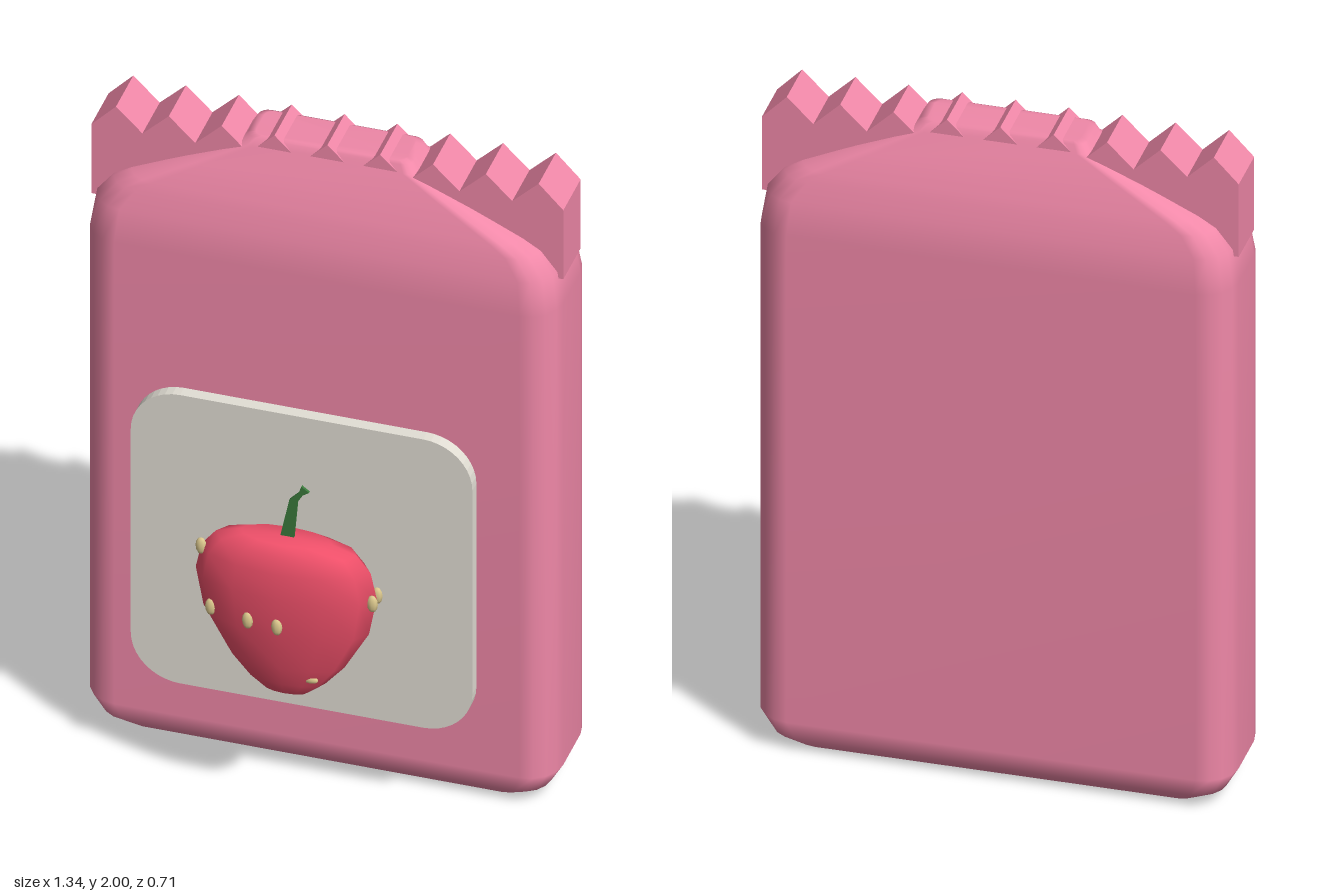
import * as THREE from 'three';
import { mergeVertices } from 'three/addons/utils/BufferGeometryUtils.js';

const mat = (color, extra = {}) => {
  const m = new THREE.MeshStandardMaterial({ color });
  return Object.assign(m, extra);
};

function addMesh(parent, name, geometry, material) {
  const mesh = new THREE.Mesh(geometry, material);
  mesh.name = name;
  parent.add(mesh);
  return mesh;
}

// Rounded-rectangle rings [y, halfWidth, halfDepth, cornerRadius] joined upwards, capped at both ends
function loft(levels, steps) {
  const pos = [], index = [], n = 4 * (steps + 1);
  for (const [y, hx, hz, r] of levels) {
    for (let c = 0; c < 4; c++) {
      const sx = c === 0 || c === 3 ? 1 : -1, sz = c < 2 ? 1 : -1;
      for (let s = 0; s <= steps; s++) {
        const a = (c + s / steps) * Math.PI / 2;
        pos.push(sx * (hx - r) + r * Math.cos(a), y, sz * (hz - r) + r * Math.sin(a));
      }
    }
  }
  for (let i = 0; i < levels.length - 1; i++) {
    for (let j = 0; j < n; j++) {
      const a = i * n + j, b = i * n + (j + 1) % n;
      index.push(a, a + n, b, b, a + n, b + n);
    }
  }
  const last = (levels.length - 1) * n;
  for (let j = 1; j < n - 1; j++) {
    index.push(0, j, j + 1, last, last + j + 1, last + j);
  }
  const g = new THREE.BufferGeometry();
  g.setAttribute('position', new THREE.Float32BufferAttribute(pos, 3));
  g.setIndex(index);
  g.computeVertexNormals();
  return g;
}

function roundedRect(hw, hh, r) {
  const s = new THREE.Shape();
  s.absarc(hw - r, hh - r, r, 0, Math.PI / 2);
  s.absarc(-hw + r, hh - r, r, Math.PI / 2, Math.PI);
  s.absarc(-hw + r, -hh + r, r, Math.PI, Math.PI * 1.5);
  s.absarc(hw - r, -hh + r, r, Math.PI * 1.5, Math.PI * 2);
  return s;
}

export function createModel() {
  const model = new THREE.Group();
  model.name = 'candyPouch';
  const pink = mat(0xf088a8);

  // Puffy pouch, tapering towards the seal
  const body = addMesh(model, 'pouchBody', loft([
    [0, 0.54, 0.10, 0.05],
    [0.005, 0.57, 0.12, 0.06],
    [0.04, 0.635, 0.153, 0.08],
    [0.10, 0.67, 0.172, 0.095],
    [1.62, 0.67, 0.172, 0.095],
    [1.72, 0.655, 0.157, 0.09],
    [1.78, 0.61, 0.142, 0.085],
    [1.81, 0.56, 0.134, 0.08],
    [1.88, 0.41, 0.11, 0.06],
    [1.95, 0.25, 0.078, 0.035],
    [1.975, 0.235, 0.07, 0.03],
    [1.98, 0.215, 0.06, 0.025],
  ], 4), pink);
  body.position.z = -0.18;

  // Zigzag seal strip
  const seal = new THREE.Shape();
  seal.moveTo(-0.67, 1.7);
  seal.lineTo(0.67, 1.7);
  seal.lineTo(0.67, 1.927);
  for (let i = 4; i >= -4; i--) {
    seal.lineTo(i * 0.15, 2);
    if (i > -4) seal.lineTo(i * 0.15 - 0.075, 1.927);
  }
  seal.lineTo(-0.67, 1.927);
  const strip = addMesh(model, 'zigzagSeal',
    new THREE.ExtrudeGeometry(seal, { depth: 0.154, bevelEnabled: false }), pink);
  strip.position.z = -0.257;

  // Label plate
  const label = addMesh(model, 'labelPlate', new THREE.ExtrudeGeometry(
    roundedRect(0.485, 0.475, 0.14), { depth: 0.036, bevelEnabled: false, curveSegments: 5 }),
  mat(0xe3dfd5));
  label.position.set(0, 0.78, 0.09);

  // Strawberry: flattened lathe
  const berry = new THREE.Group();
  berry.name = 'strawberry';
  berry.position.z = 0.262;
  model.add(berry);
  const profile = [[0, 0.437], [0.06, 0.45], [0.11, 0.49], [0.165, 0.555], [0.235, 0.68],
    [0.257, 0.80], [0.24, 0.88], [0.2, 0.93], [0.13, 0.953], [0, 0.957]]
    .map(([x, y]) => new THREE.Vector2(x, y));
  let fruit = new THREE.LatheGeometry(profile, 12);
  fruit.scale(1, 1, 0.355);
  fruit.deleteAttribute('uv');
  fruit.deleteAttribute('normal');
  fruit = mergeVertices(fruit, 1e-4);
  fruit.computeVertexNormals();
  addMesh(berry, 'fruit', fruit, mat(0xf0506a));

  // Seeds [x, y, z] set into the skin
  const seedGeo = new THREE.SphereGeometry(1, 8, 6);
  seedGeo.scale(0.016, 0.027, 0.01);
  const seedMat = mat(0xe0cc90);
  [[-0.2, 0.71, 0.046], [-0.085, 0.71, 0.078], [0, 0.71, 0.085], [-0.238, 0.88, 0.012],
    [0.25, 0.795, 0.018], [0.25, 0.795, -0.024], [0.155, 0.8, -0.074], [-0.21, 0.8, -0.048],
    [0.05, 0.62, -0.068]].forEach((p) => {
    addMesh(berry, 'seed', seedGeo, seedMat).position.set(...p);
  });
  const lowSeed = addMesh(berry, 'seed', seedGeo, seedMat);
  lowSeed.position.set(0.08, 0.52, 0.034);
  lowSeed.rotation.z = Math.PI / 2;
  lowSeed.scale.setScalar(0.8);

  // Thin curved stem with a flared tip
  const stem = new THREE.Shape([[-0.018, 0.945], [0.022, 0.945], [0.033, 1.075], [0.048, 1.1],
    [0.066, 1.112], [0.044, 1.128], [0.036, 1.105], [0.01, 1.078]]
    .map(([x, y]) => new THREE.Vector2(x, y)));
  const stemMesh = addMesh(berry, 'stem',
    new THREE.ExtrudeGeometry(stem, { depth: 0.008, bevelEnabled: false }), mat(0x3a7a3c));
  stemMesh.position.z = -0.004;

  return model;
}
